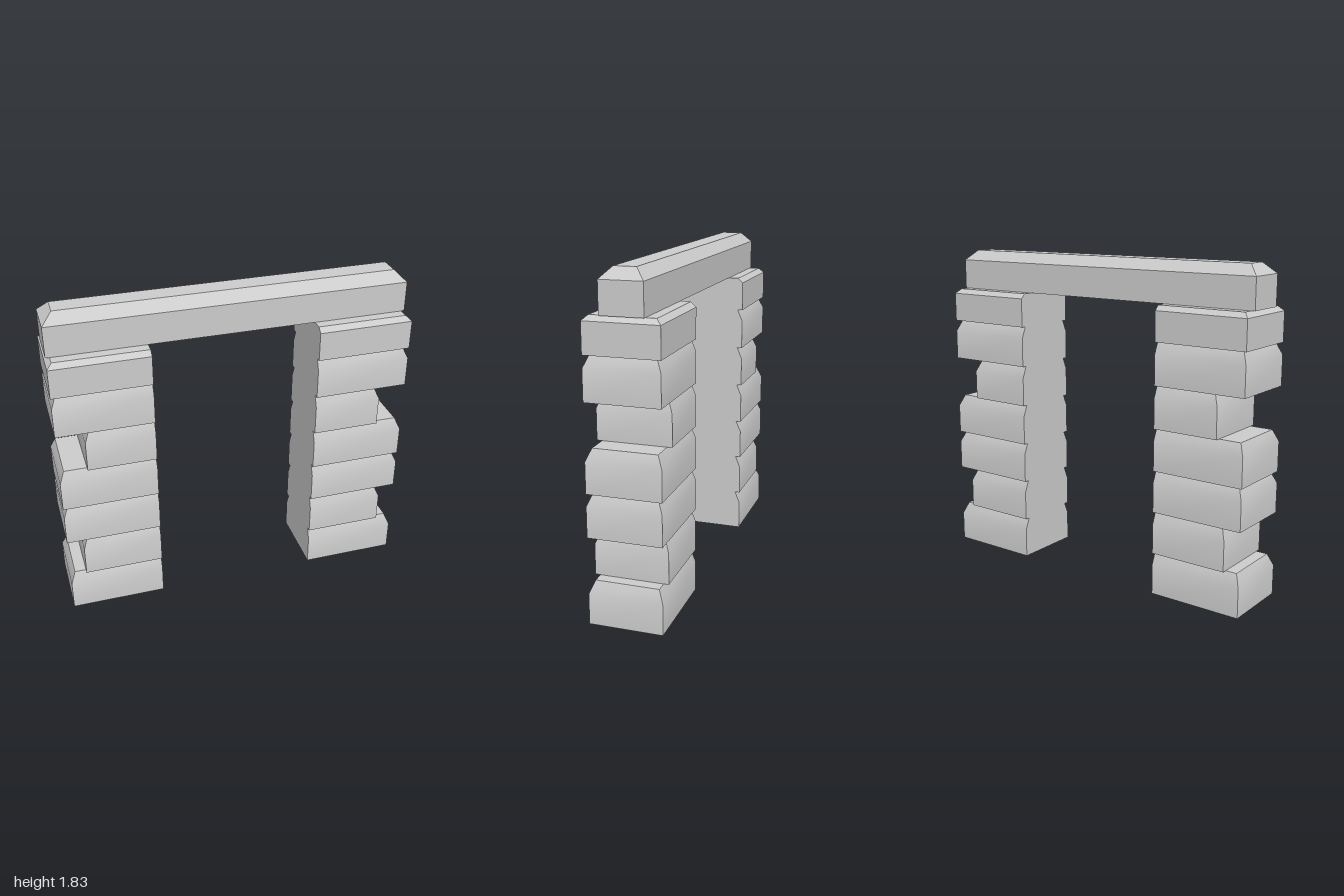
import * as THREE from 'three';
import { toCreasedNormals } from 'three/addons/utils/BufferGeometryUtils.js';

const material = new THREE.MeshStandardMaterial({ color: 0xcccccc });

// Closed solid through stacked rectangles, each [xMin, xMax, zMin, zMax, y]
function stackedBlock(name, sections) {
  const positions = [], index = [];
  for (const [x0, x1, z0, z1, y] of sections) {
    positions.push(x0, y, z1, x1, y, z1, x1, y, z0, x0, y, z0);
  }
  for (let s = 0; s < sections.length - 1; s++) {
    for (let i = 0; i < 4; i++) {
      const a = s * 4 + i, b = s * 4 + (i + 1) % 4;
      index.push(a, b, b + 4, a, b + 4, a + 4);
    }
  }
  const t = (sections.length - 1) * 4;
  index.push(0, 2, 1, 0, 3, 2, t, t + 1, t + 2, t, t + 2, t + 3);
  const geometry = new THREE.BufferGeometry();
  geometry.setAttribute('position', new THREE.Float32BufferAttribute(positions, 3));
  geometry.setIndex(index);
  // Gentle bevels blend smoothly, corners stay sharp
  const mesh = new THREE.Mesh(toCreasedNormals(geometry, 0.6), material);
  mesh.name = name;
  return mesh;
}

// Pillar of seven stones, bevelled on front, back and outer side, flush inside
function pillar(side) {
  const group = new THREE.Group();
  group.name = side > 0 ? 'leftPillar' : 'rightPillar';
  const outer = [1, 0.908, 1, 1, 0.845, 1, 1];
  const levels = [0, 0.237, 0.475, 0.708, 0.942, 1.177, 1.41, 1.602];
  const inner = 0.462, depth = 0.2, inset = 0.028;
  outer.forEach((x, i) => {
    const bottom = levels[i], top = levels[i + 1];
    const shoulder = i === 6 ? 1.575 : bottom + 0.168;
    const section = (cut, y) => {
      const ends = [side * inner, side * (x - cut)].sort((a, b) => a - b);
      return [...ends, -depth + cut, depth - cut, y];
    };
    group.add(stackedBlock('pillarStone' + (i + 1), [
      section(0, bottom), section(0, shoulder), section(inset, top),
    ]));
  });
  return group;
}

export function createModel() {
  const model = new THREE.Group();
  model.name = 'stoneGateway';
  model.add(pillar(1), pillar(-1));
  // Lintel beam with a chamfered top
  model.add(stackedBlock('lintel', [
    [-0.995, 0.99, -0.115, 0.113, 1.602],
    [-0.995, 0.99, -0.115, 0.113, 1.772],
    [-0.935, 0.932, -0.06, 0.057, 1.83],
  ]));
  return model;
}
